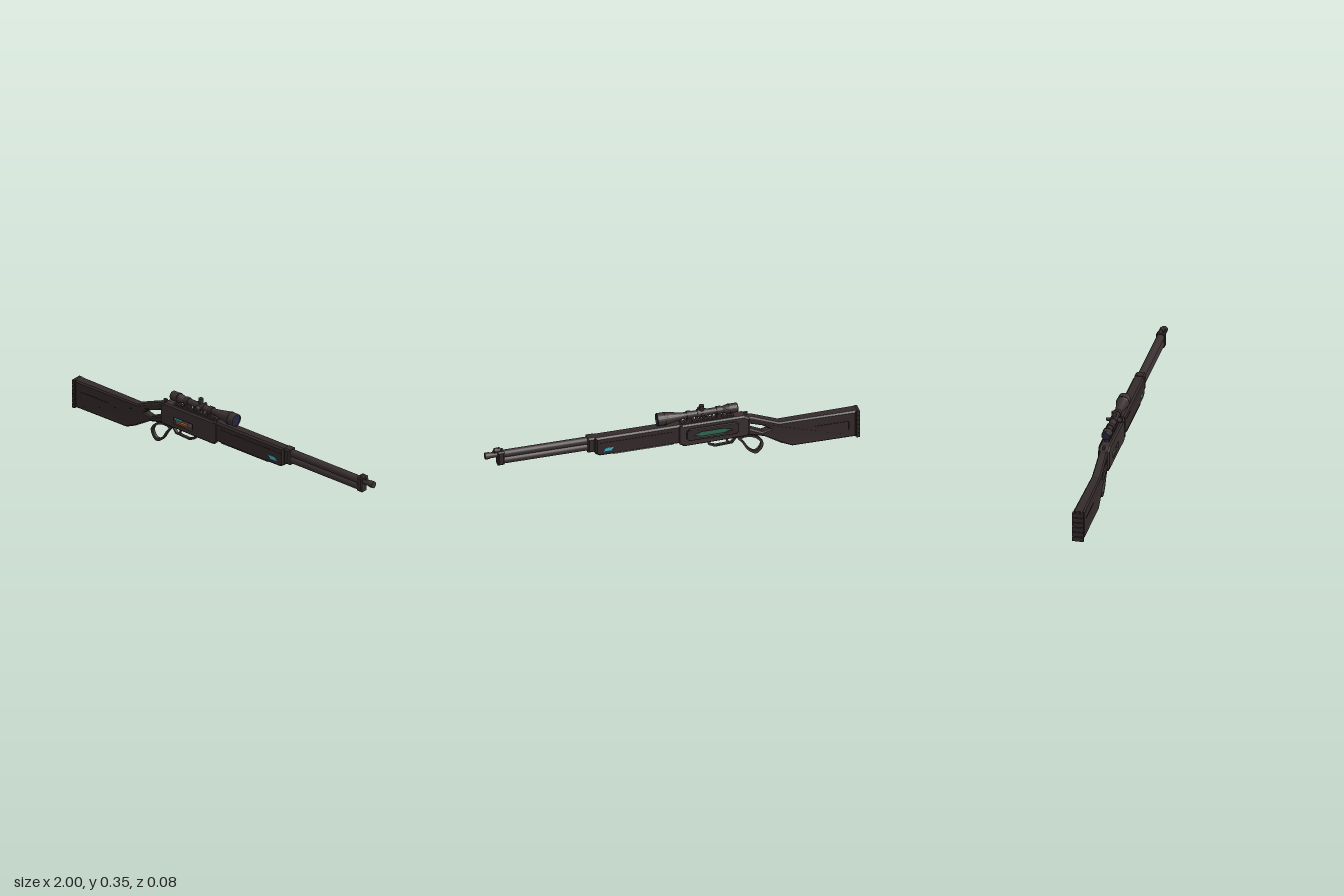
import * as THREE from 'three';

const mat = (name, color, side = THREE.FrontSide) => {
  const m = new THREE.MeshStandardMaterial({ color, side });
  m.name = name;
  return m;
};

export function createModel() {
  const body = mat('dark furniture', 0x342a2b);
  const metal = mat('gun metal', 0x3a3031);
  const black = mat('black trim', 0x241e1f);
  const cyan = mat('cyan accent', 0x3fb4c8);
  const orange = mat('brass orange', 0x9a5a22);
  const green = mat('green inlay', 0x2f6b54);
  const navy = mat('lens navy', 0x22253f);
  const root = new THREE.Group();

  const add = (name, geo, m, x = 0, y = 0, z = 0) => {
    const mesh = new THREE.Mesh(geo, m);
    mesh.name = name;
    mesh.position.set(x, y, z);
    root.add(mesh);
    return mesh;
  };
  const box = (name, m, x0, x1, y0, y1, z0, z1) =>
    add(name, new THREE.BoxGeometry(x1 - x0, y1 - y0, z1 - z0), m, (x0 + x1) / 2, (y0 + y1) / 2, (z0 + z1) / 2);
  // Round bar along x
  const bar = (name, m, x0, x1, y, r0, r1 = r0, seg = 20) => {
    const g = new THREE.CylinderGeometry(r1, r0, x1 - x0, seg).rotateZ(-Math.PI / 2);
    return add(name, g, m, (x0 + x1) / 2, y, 0);
  };
  const v2 = (pts) => pts.map(([x, y]) => new THREE.Vector2(x, y));
  // Side profile extruded about z = 0, keeping its outline after bevelling
  const slab = (pts, half, bevel = 0, holes = []) => {
    const s = new THREE.Shape(v2(pts));
    holes.forEach((h) => s.holes.push(new THREE.Path(v2(h))));
    return new THREE.ExtrudeGeometry(s, {
      depth: 2 * (half - bevel), bevelEnabled: bevel > 0, bevelThickness: bevel,
      bevelSize: bevel, bevelOffset: -bevel, bevelSegments: 1, curveSegments: 8,
    }).translate(0, 0, bevel - half);
  };
  const rect = (x0, x1, y0, y1) => [[x0, y0], [x1, y0], [x1, y1], [x0, y1]];
  const smooth = (pts, n) => new THREE.CatmullRomCurve3(pts.map(([x, y]) => new THREE.Vector3(x, y, 0)), true)
    .getPoints(n).slice(0, n).map((p) => [p.x, p.y]);
  const shrink = (pts, cx, cy, k, ky = k) => pts.map(([x, y]) => [cx + (x - cx) * k, cy + (y - cy) * ky]);

  // Stock with thumbhole, narrowing towards the wrist
  const stock = slab(
    [[-0.98, 0.024], [-0.64, 0.026], [-0.58, 0.052], [-0.49, 0.108], [-0.39, 0.132], [-0.39, 0.248],
      [-0.43, 0.238], [-0.57, 0.18], [-0.98, 0.182]],
    0.03, 0.008,
    [[[-0.525, 0.146], [-0.48, 0.176], [-0.415, 0.198], [-0.41, 0.17], [-0.48, 0.136]]]);
  const p = stock.attributes.position;
  for (let i = 0; i < p.count; i++) {
    const t = THREE.MathUtils.smoothstep(p.getX(i), -0.66, -0.5);
    p.setZ(i, p.getZ(i) * (1 - 0.3 * t));
  }
  stock.computeVertexNormals();
  add('stock', stock, body);
  for (const s of [-1, 1]) {
    box('stockGroove', black, -0.94, -0.76, 0.125, 0.128, s * 0.03 - 0.001, s * 0.03 + 0.001);
    box('stockGrooveEnd', black, -0.942, -0.939, 0.075, 0.128, s * 0.03 - 0.001, s * 0.03 + 0.001);
  }

  // Ribbed butt pad
  box('buttPad', black, -0.992, -0.978, 0.022, 0.18, -0.028, 0.028);
  for (let i = 0; i < 6; i++) {
    const y = 0.018 + i * 0.0275;
    box('buttRib', body, -1, -0.982, y, y + 0.023, -0.03, 0.03);
  }

  // Receiver with ejection window
  const win = rect(-0.31, -0.2, 0.165, 0.189);
  add('receiver', slab(
    [[-0.41, 0.14], [-0.39, 0.13], [-0.06, 0.126], [-0.042, 0.14], [-0.042, 0.258], [-0.38, 0.258], [-0.41, 0.24]],
    0.03, 0.008, [win]), metal);
  box('receiverFront', metal, -0.05, -0.035, 0.145, 0.258, -0.031, 0.031);
  box('boltPlate', cyan, -0.312, -0.268, 0.182, 0.19, 0.018, 0.031);
  box('cartridge', orange, -0.306, -0.238, 0.164, 0.175, 0.016, 0.03);
  box('hammer', metal, -0.405, -0.385, 0.25, 0.265, -0.006, 0.006);

  // Raised back panel with a spindle shaped inlay
  const spindle = [[-0.315, 0.195], [-0.27, 0.181], [-0.15, 0.181], [-0.105, 0.195], [-0.15, 0.21], [-0.27, 0.21]];
  add('sidePanel', slab(
    [[-0.35, 0.18], [-0.335, 0.165], [-0.085, 0.165], [-0.07, 0.18], [-0.07, 0.22], [-0.085, 0.235],
      [-0.335, 0.235], [-0.35, 0.22]], 0.006, 0.002, [spindle]), body, 0, 0, -0.035);
  const inlay = new THREE.ShapeGeometry(new THREE.Shape(v2(spindle.map(([x, y]) => [-x, y])))).rotateY(Math.PI);
  add('greenInlay', inlay, green, 0, 0, -0.034);

  // Lever loop, trigger guard and trigger
  const loop = smooth([[-0.49, 0.06], [-0.475, 0.018], [-0.45, 0.002], [-0.41, 0.025], [-0.375, 0.08],
    [-0.35, 0.118], [-0.41, 0.125], [-0.46, 0.102]], 28);
  add('leverLoop', slab(loop, 0.008, 0, [shrink(loop, -0.43, 0.068, 0.74)]), metal);
  const guard = [[-0.355, 0.13], [-0.325, 0.088], [-0.23, 0.083], [-0.195, 0.1], [-0.185, 0.13]];
  add('triggerGuard', slab(guard, 0.008, 0, [shrink(guard, -0.27, 0.112, 0.86, 0.7)]), metal);
  box('trigger', metal, -0.3, -0.29, 0.097, 0.13, -0.004, 0.004).rotation.z = -0.25;
  box('leverPivot', metal, -0.2, -0.06, 0.12, 0.13, -0.012, 0.012);

  // Slotted handguard
  add('handguard', slab(
    [[-0.04, 0.15], [0.39, 0.15], [0.415, 0.165], [0.415, 0.262], [-0.04, 0.262]], 0.029, 0.009,
    [rect(0.008, 0.31, 0.161, 0.184)]), body);
  for (const s of [-1, 1]) {
    box('handguardGroove', black, 0.0, 0.4, 0.227, 0.231, s * 0.029 - 0.001, s * 0.029 + 0.001);
    const tag = add('accentTag', slab([[0.315, 0.197], [0.332, 0.178], [0.375, 0.178], [0.36, 0.197]], 0.002), cyan);
    tag.position.z = s * 0.029;
  }

  // Barrel, magazine tube and bands
  bar('barrel', metal, 0.4, 0.93, 0.242, 0.02);
  bar('muzzle', metal, 0.93, 0.985, 0.243, 0.015);
  bar('muzzleTip', metal, 0.975, 1, 0.243, 0.018);
  bar('magazineTube', metal, 0.4, 0.925, 0.205, 0.021);
  add('barrelBand', slab(rect(0.415, 0.455, 0.178, 0.266), 0.027, 0.008), body);
  add('frontBand', slab(rect(0.9, 0.935, 0.184, 0.265), 0.023, 0.006), body);
  add('frontSight', slab([[0.905, 0.258], [0.96, 0.258], [0.95, 0.28], [0.925, 0.282]], 0.006), metal);
  add('sightHood', new THREE.CylinderGeometry(0.014, 0.014, 0.03, 14).rotateZ(Math.PI / 2), metal, 0.935, 0.268, 0);

  // Toothed scope rail
  box('rail', metal, -0.33, -0.04, 0.254, 0.263, -0.014, 0.014);
  for (let i = 0; i < 14; i++) {
    const x = -0.328 + i * 0.0207;
    box('railTooth', metal, x, x + 0.012, 0.262, 0.269, -0.016, 0.016);
  }

  // Scope body
  const profile = v2([[0, -0.352], [0.021, -0.352], [0.025, -0.348], [0.025, -0.3], [0.022, -0.285], [0.0175, -0.27],
    [0.0175, -0.06], [0.022, -0.03], [0.032, 0.025], [0.034, 0.03], [0.034, 0.08], [0.03, 0.08], [0.03, 0.072]]);
  const tube = new THREE.LatheGeometry(profile, 24).toNonIndexed().rotateZ(-Math.PI / 2);
  tube.computeVertexNormals();
  add('scopeTube', tube, metal, 0, 0.302, 0);
  add('frontLens', new THREE.CircleGeometry(0.031, 24).rotateY(Math.PI / 2), navy, 0.076, 0.302, 0);
  add('rearLens', new THREE.CircleGeometry(0.018, 24).rotateY(-Math.PI / 2), navy, -0.353, 0.302, 0);
  for (const x of [-0.31, 0.035]) bar('scopeRidge', black, x, x + 0.008, 0.302, x < 0 ? 0.0265 : 0.035);

  // Mount rings
  for (const x of [-0.25, -0.09]) {
    bar('scopeRing', body, x - 0.012, x + 0.012, 0.302, 0.022);
    box('ringFoot', body, x - 0.012, x + 0.012, 0.262, 0.29, -0.015, 0.015);
  }

  // Adjustment turrets
  bar('turretCollar', metal, -0.185, -0.135, 0.302, 0.022);
  const turret = (name, len) => new THREE.CylinderGeometry(0.0135, 0.0135, len, 14);
  add('topTurret', turret('top', 0.035), body, -0.16, 0.331, 0);
  add('sideTurret', turret('side', 0.03).rotateX(Math.PI / 2), body, -0.16, 0.301, 0.028);
  add('backTurret', new THREE.CylinderGeometry(0.009, 0.009, 0.03, 14).rotateX(Math.PI / 2), body, -0.16, 0.301, -0.026);

  return root;
}
